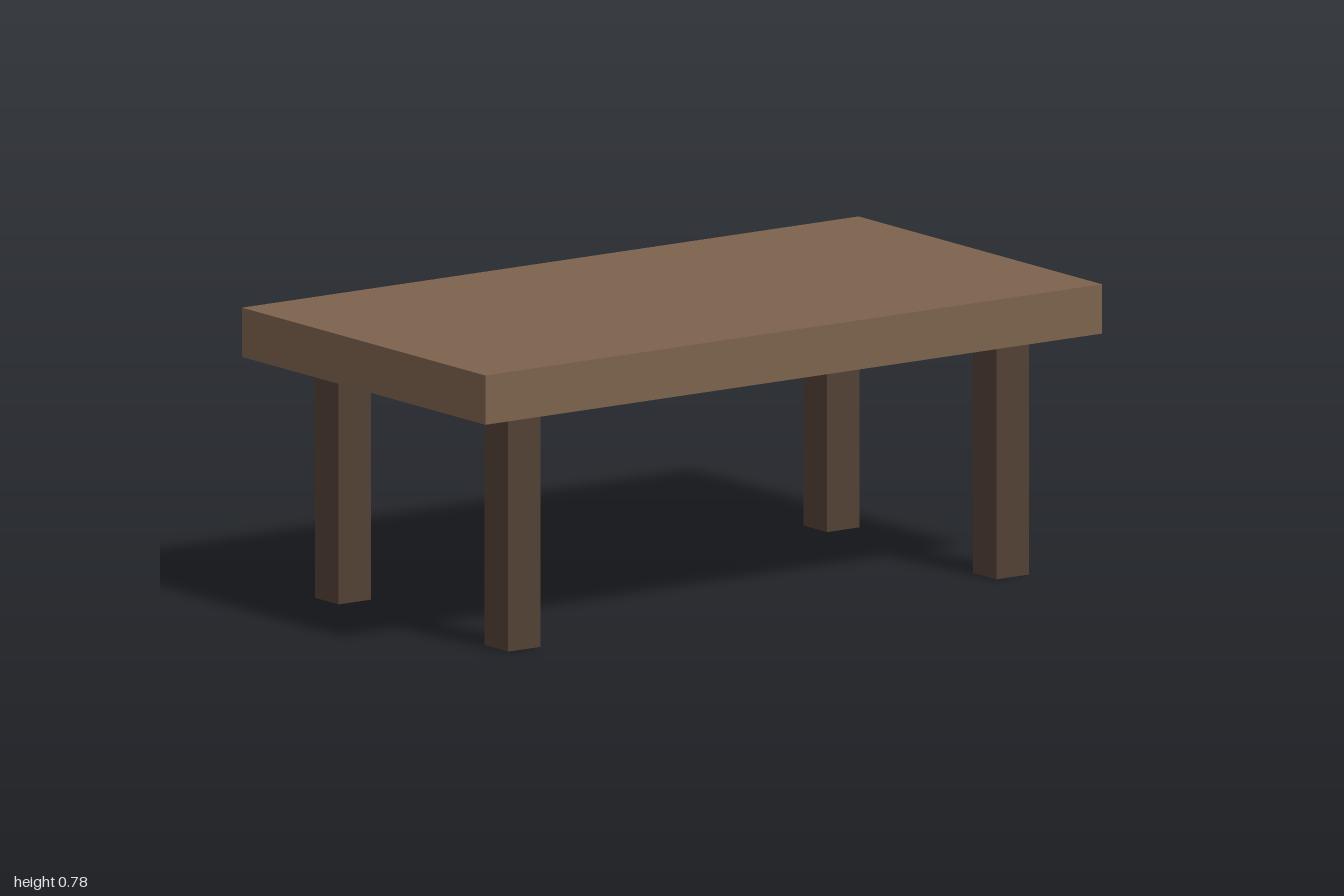
import * as THREE from 'three';

export function createModel() {
  const model = new THREE.Group();
  model.name = 'table';

  const topWood = new THREE.MeshStandardMaterial({ color: 0x7c624d });
  topWood.name = 'brown wood';
  const legWood = new THREE.MeshStandardMaterial({ color: 0x524134 });
  legWood.name = 'dark brown wood';

  const legHeight = 0.645, topThickness = 0.132, legWidth = 0.105;

  // Thick rectangular slab
  const tableTop = new THREE.Mesh(new THREE.BoxGeometry(2, topThickness, 1.084), topWood);
  tableTop.name = 'tableTop';
  tableTop.position.y = legHeight + topThickness / 2;
  model.add(tableTop);

  // Four square legs, set in from the corners
  const legGeometry = new THREE.BoxGeometry(legWidth, legHeight, legWidth);
  for (const [zName, z] of [['front', 1], ['back', -1]]) {
    for (const [xName, x] of [['Left', 1], ['Right', -1]]) {
      const leg = new THREE.Mesh(legGeometry, legWood);
      leg.name = `${zName}${xName}Leg`;
      leg.position.set(x * 0.792, legHeight / 2, z * 0.377);
      model.add(leg);
    }
  }

  return model;
}
